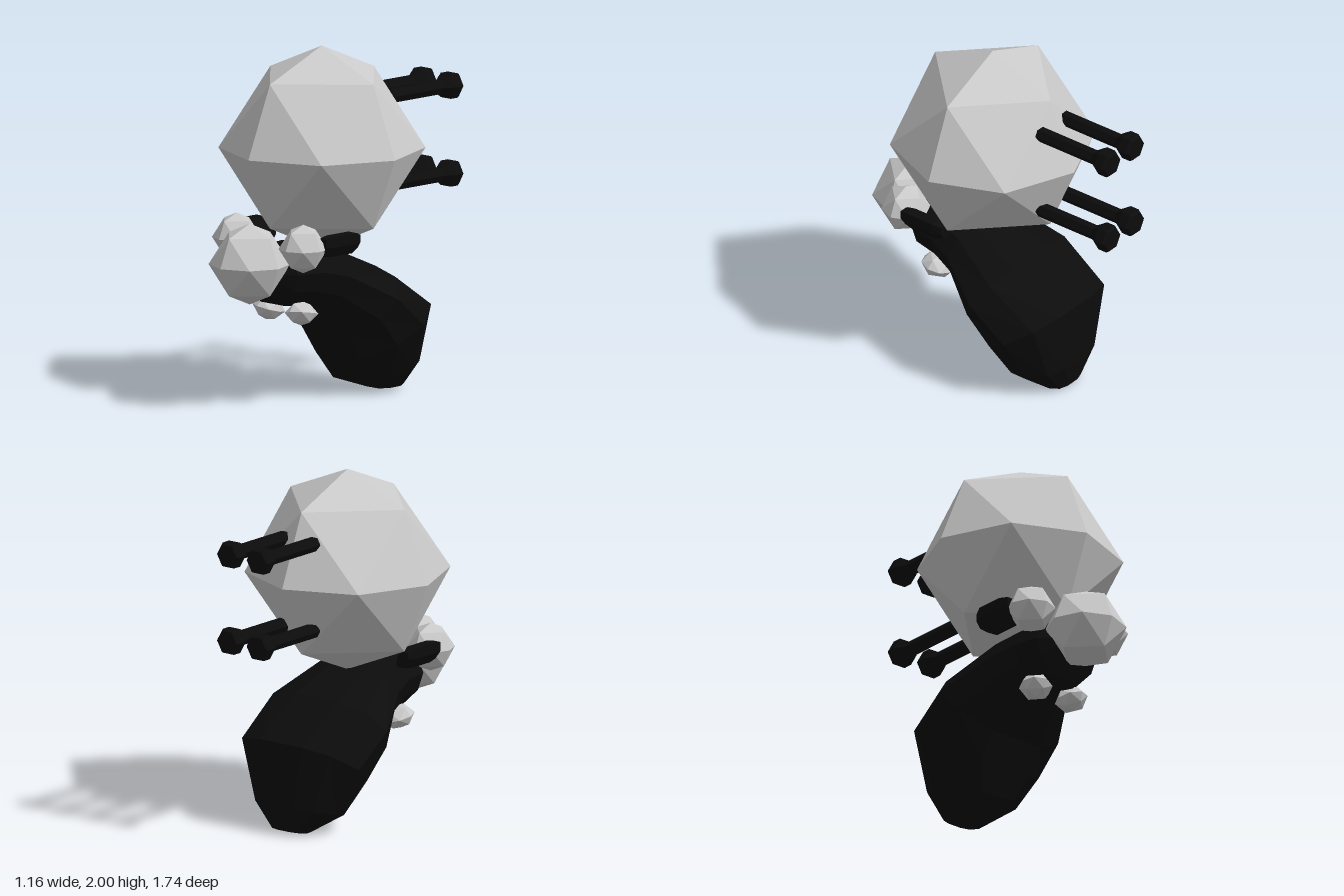
import * as THREE from 'three';

const grey = new THREE.MeshStandardMaterial({ color: 0xcccccc, flatShading: true });
const black = new THREE.MeshStandardMaterial({ color: 0x0c0c0c, flatShading: true });

// Closed skin over equal-length rings of points, ordered front to back
function loft(rings) {
  const n = rings[0].length, last = (rings.length - 1) * n, index = [];
  for (let i = 0; i < rings.length - 1; i++) {
    for (let j = 0; j < n; j++) {
      const a = i * n + j, b = i * n + (j + 1) % n;
      index.push(a, b, a + n, b, b + n, a + n);
    }
  }
  for (let k = 1; k < n - 1; k++) {
    index.push(0, k + 1, k, last, last + k, last + k + 1);
  }
  const g = new THREE.BufferGeometry();
  g.setAttribute('position', new THREE.Float32BufferAttribute(rings.flat(2), 3));
  g.setIndex(index);
  const flat = g.toNonIndexed();
  flat.computeVertexNormals();
  return flat;
}

export function createModel() {
  const model = new THREE.Group();
  const add = (name, geometry, material, x = 0, y = 0, z = 0) => {
    const mesh = new THREE.Mesh(geometry, material);
    mesh.name = name;
    mesh.position.set(x, y, z);
    model.add(mesh);
    return mesh;
  };
  const ball = (r) => new THREE.OctahedronGeometry(r, 1);

  // Large faceted dome and nose
  add('dome', ball(0.58), grey, 0, 1.42, 0.07);
  add('nose', ball(0.23), grey, 0, 0.83, 0.64);

  // Body: each station is top z, top y, bottom z, bottom y, half width
  const stations = [
    [0.53, 0.82, 0.53, 0.69, 0.15],
    [0.48, 0.9, 0.46, 0.58, 0.22],
    [0.3, 0.91, 0.32, 0.56, 0.25],
    [0.13, 0.88, 0.19, 0.52, 0.3],
    [-0.2, 0.73, 0.03, 0.37, 0.43],
    [-0.52, 0.53, -0.05, 0.22, 0.41],
    [-0.53, 0.17, -0.13, 0.07, 0.27],
    [-0.5, 0.02, -0.33, 0, 0.12],
  ];
  // Half cross-section: share of half width, share of the way from top to bottom
  const half = [[0.36, 0], [0.78, 0.1], [1, 0.4], [0.85, 0.72], [0.42, 1]];
  const section = [...half, ...half.map(([w, t]) => [-w, t]).reverse()];
  const rings = stations.map(([z0, y0, z1, y1, hw]) =>
    section.map(([w, t]) => [w * hw, y0 + (y1 - y0) * t, z0 + (z1 - z0) * t]));
  add('body', loft(rings), black);

  // Ear flap: short bevelled slab, outer edge raised
  const earSection = [[0.33, 1.0], [0.4, 1.0], [0.4, 0.94], [0.36, 0.88], [0.27, 0.87], [0.28, 0.94]];
  const earRings = [[0.42, 0.8], [0.36, 1], [0.19, 1], [0.14, 0.65]].map(([z, s]) =>
    earSection.map(([x, y]) => [0.34 + (x - 0.34) * s, 0.945 + (y - 0.945) * s, z]));
  const ear = loft(earRings);

  // Bolt turned on a six-sided profile, pointing backwards
  const profile = [[0, 0], [0.025, 0], [0.0425, 0.015], [0.0425, 0.405], [0.08, 0.46],
    [0.08, 0.515], [0.07, 0.53], [0, 0.53]].map(([r, y]) => new THREE.Vector2(r, y));
  const bolt = new THREE.LatheGeometry(profile, 6).rotateY(Math.PI / 6).rotateX(-Math.PI / 2);

  for (const side of [1, -1]) {
    const label = side > 0 ? 'left' : 'right';
    add(label + 'Eye', ball(0.138), grey, side * 0.265, 0.93, 0.48);

    const tooth = add(label + 'Tooth', ball(0.095), grey, side * 0.13, 0.53, 0.36);
    tooth.scale.y = 0.72;
    tooth.rotation.set(-0.2, 0, side * 0.15);

    const mirrored = earRings.map((ring) => ring.map(([x, y, z]) => [-x, y, z]).reverse());
    add(label + 'Ear', side > 0 ? ear : loft(mirrored), black);

    for (const [row, y] of [['Upper', 1.67], ['Lower', 1.17]]) {
      add(label + row + 'Bolt', bolt, black, side * 0.107, y, -0.34);
    }
  }
  return model;
}
